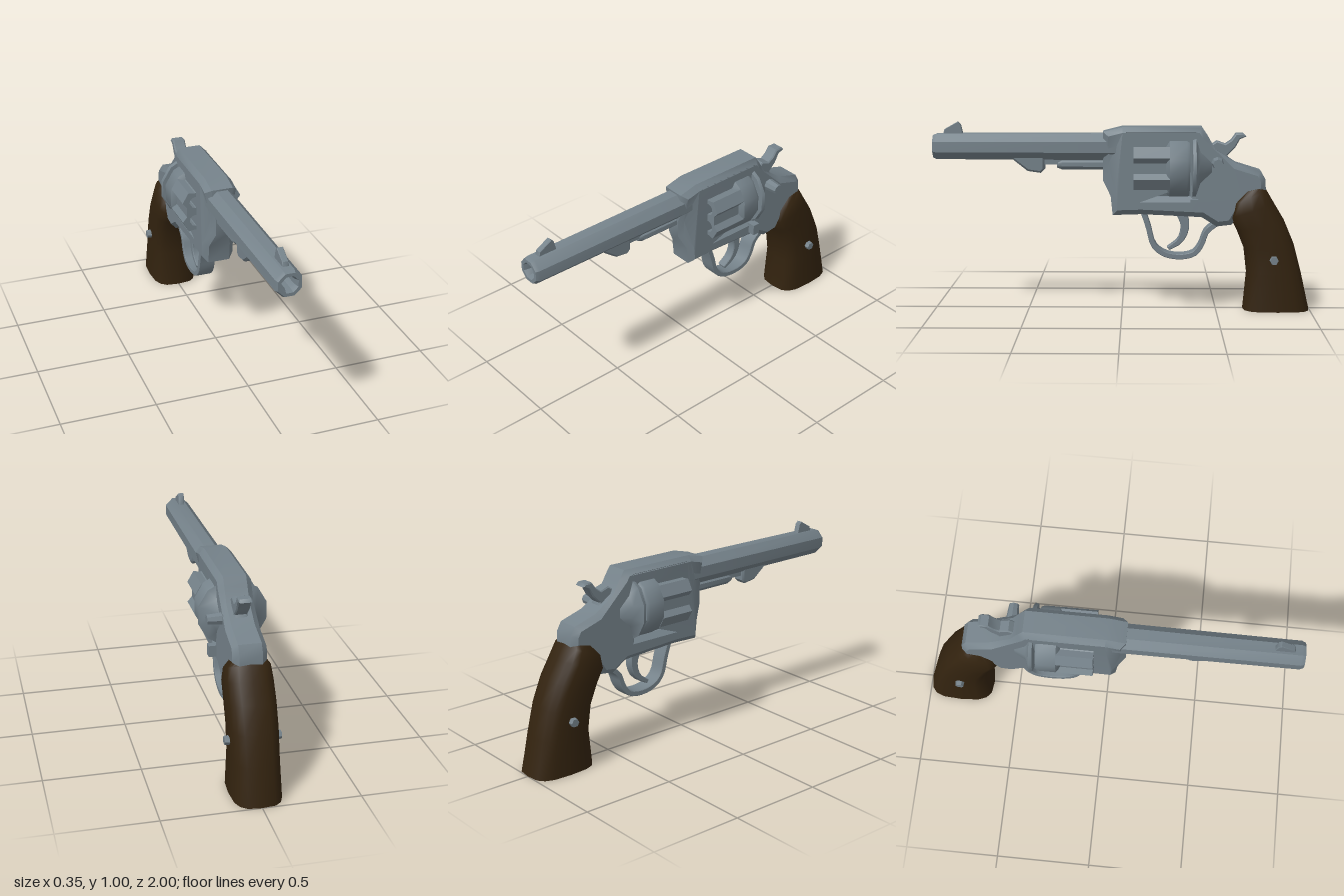
import * as THREE from 'three';
import { toCreasedNormals } from 'three/addons/utils/BufferGeometryUtils.js';

const steel = new THREE.MeshStandardMaterial({ color: 0x75828a });
steel.name = 'steel';
const wood = new THREE.MeshStandardMaterial({ color: 0x33230f });
wood.name = 'dark wood';

const AXIS_Y = 0.765; // cylinder axis height
const BORE_Y = 0.87; // barrel axis height

function mesh(name, geometry, material = steel, crease = 0.75) {
  const m = new THREE.Mesh(toCreasedNormals(geometry, crease), material);
  m.name = name;
  return m;
}

const toShape = (pts) => new THREE.Shape(pts.map(([z, y]) => new THREE.Vector2(z, y)));

// Side profile in (z, y), given a thickness across x with a chamfered edge
function plate(shape, halfWidth, bevel = 0.01) {
  const g = new THREE.ExtrudeGeometry(shape, {
    depth: 2 * (halfWidth - bevel), curveSegments: 6, bevelEnabled: bevel > 0,
    bevelThickness: bevel, bevelSize: bevel, bevelOffset: -bevel, bevelSegments: 1,
  });
  g.translate(0, 0, -(halfWidth - bevel));
  g.rotateY(-Math.PI / 2);
  return g;
}

// Curved band of given half thickness following a centre line in (z, y)
function band(pts, thick, steps = 16) {
  const curve = new THREE.SplineCurve(pts.map(([z, y]) => new THREE.Vector2(z, y)));
  const a = [], b = [];
  for (let i = 0; i <= steps; i++) {
    const p = curve.getPoint(i / steps), t = curve.getTangent(i / steps);
    const h = typeof thick === 'function' ? thick(i / steps) : thick;
    a.push([p.x - t.y * h, p.y + t.x * h]);
    b.unshift([p.x + t.y * h, p.y - t.x * h]);
  }
  return toShape([...a, ...b]);
}

// Turned part along z; profile is [radius, z] with z rising on the outside
function turned(profile, sides, y) {
  const g = new THREE.LatheGeometry(profile.map(([r, z]) => new THREE.Vector2(r, z)), sides, Math.PI / sides);
  g.rotateX(Math.PI / 2);
  g.translate(0, y, 0);
  return g;
}

// Grip lofted through sections [frontZ, frontY, backZ, backY, halfWidth]
function loftGrip(sections, n = 16) {
  const pos = [], idx = [];
  const soft = (v) => Math.sign(v) * Math.abs(v) ** 0.62;
  for (const [fz, fy, bz, by, w] of sections) {
    for (let j = 0; j < n; j++) {
      const a = (j / n) * Math.PI * 2, t = soft(Math.sin(a)) / 2;
      pos.push(w * soft(Math.cos(a)), (fy + by) / 2 + (fy - by) * t, (fz + bz) / 2 + (fz - bz) * t);
    }
  }
  const last = sections.length - 1;
  for (let i = 0; i < last; i++) {
    for (let j = 0; j < n; j++) {
      const k = (j + 1) % n, p = i * n, q = p + n;
      idx.push(p + j, q + j, p + k, p + k, q + j, q + k);
    }
  }
  for (const i of [0, last]) {
    const [fz, fy, bz, by] = sections[i];
    const c = pos.length / 3;
    pos.push(0, (fy + by) / 2, (fz + bz) / 2);
    for (let j = 0; j < n; j++) {
      const p = i * n + j, q = i * n + ((j + 1) % n);
      idx.push(c, ...(i === 0 ? [p, q] : [q, p]));
    }
  }
  const g = new THREE.BufferGeometry();
  g.setAttribute('position', new THREE.Float32BufferAttribute(pos, 3));
  g.setIndex(idx);
  g.computeVertexNormals();
  return g;
}

function buildBarrel() {
  const group = new THREE.Group();
  group.name = 'barrel';
  group.add(mesh('barrelTube', turned(
    [[0.077, 0.03], [0.073, 0.98], [0.064, 1], [0.046, 1], [0.034, 0.97], [0.03, 0.8], [0, 0.8]], 8, BORE_Y), steel, 0.6));
  const sight = toShape([[0.95, 0.92], [0.94, 0.96], [0.87, 1], [0.855, 0.985], [0.84, 0.92]]);
  group.add(mesh('frontSight', plate(sight, 0.016, 0.003)));
  const lug = toShape([[0.59, 0.82], [0.57, 0.795], [0.5, 0.74], [0.43, 0.73], [0.41, 0.75], [0.41, 0.82]]);
  group.add(mesh('ejectorLug', plate(lug, 0.038, 0.01)));
  group.add(mesh('ejectorRod', turned([[0, 0.05], [0.032, 0.05], [0.03, 0.32], [0.02, 0.345], [0, 0.345]], 8, 0.775)));
  group.add(mesh('rodBridge', new THREE.BoxGeometry(0.04, 0.04, 0.4).translate(0, 0.795, 0.25)));
  return group;
}

function buildFrame() {
  const group = new THREE.Group();
  group.name = 'frame';
  const outline = toShape([
    [0.1, 0.95], [0, 0.975], [-0.42, 0.975], [-0.45, 0.93], [-0.49, 0.86], [-0.6, 0.785], [-0.73, 0.745],
    [-0.755, 0.7], [-0.757, 0.64], [-0.65, 0.58], [-0.58, 0.46], [-0.5, 0.45], [-0.42, 0.5],
    [-0.1, 0.515], [0.05, 0.51], [0.06, 0.61], [0.1, 0.69], [0.1, 0.78],
  ]);
  outline.holes.push(new THREE.Path(
    [[-0.05, 0.61], [-0.36, 0.61], [-0.36, 0.925], [-0.05, 0.925]].map(([z, y]) => new THREE.Vector2(z, y))));
  const g = plate(outline, 0.086, 0.028);
  // Narrow the neck under the barrel
  const p = g.attributes.position;
  for (let i = 0; i < p.count; i++) {
    if (p.getZ(i) > 0.03 && p.getY(i) > 0.65 && p.getY(i) < 0.82) p.setX(i, p.getX(i) * 0.6);
  }
  group.add(mesh('frameBody', g));
  // Recoil shield flaring behind the cylinder
  group.add(mesh('recoilShield', turned(
    [[0, -0.5], [0.09, -0.47], [0.12, -0.41], [0.18, -0.388], [0.175, -0.37], [0, -0.36]], 12, AXIS_Y), steel, 0.9));
  const latch = new THREE.CylinderGeometry(0.026, 0.034, 0.09, 8);
  latch.rotateZ(-Math.PI / 2).translate(0.115, 0.79, -0.5);
  group.add(mesh('thumbLatch', latch));
  group.add(mesh('sidePin', new THREE.BoxGeometry(0.05, 0.06, 0.04).translate(0.1, 0.57, -0.38)));
  return group;
}

function buildCylinder() {
  const group = new THREE.Group();
  group.name = 'cylinder';
  // Fluted front with six chamber holes
  const pts = [];
  for (let i = 0; i < 6; i++) {
    for (const [deg, r] of [[-11, 0.14], [11, 0.14], [19, 0.17], [41, 0.17]]) {
      const a = THREE.MathUtils.degToRad(i * 60 + deg);
      pts.push(new THREE.Vector2(Math.cos(a) * r, Math.sin(a) * r));
    }
  }
  const face = new THREE.Shape(pts);
  for (let i = 0; i < 6; i++) {
    const a = Math.PI / 6 + (i * Math.PI) / 3;
    const hole = new THREE.Path();
    hole.absarc(Math.cos(a) * 0.105, Math.sin(a) * 0.105, 0.032, 0, Math.PI * 2, true);
    face.holes.push(hole);
  }
  const front = new THREE.ExtrudeGeometry(face, { depth: 0.19, bevelEnabled: false, curveSegments: 6 });
  front.translate(0, AXIS_Y, -0.25);
  group.add(mesh('flutedDrum', front, steel, 0.5));
  group.add(mesh('rearDrum', turned([[0, -0.355], [0.162, -0.355], [0.17, -0.34], [0.17, -0.25], [0.135, -0.225], [0, -0.225]], 12, AXIS_Y)));
  group.add(mesh('centrePin', turned([[0.04, -0.1], [0.035, -0.03], [0, -0.03]], 8, AXIS_Y)));
  return group;
}

function buildAction() {
  const group = new THREE.Group();
  group.name = 'action';
  const guard = band([[-0.11, 0.53], [-0.14, 0.44], [-0.165, 0.35], [-0.22, 0.3], [-0.3, 0.283],
    [-0.38, 0.298], [-0.422, 0.35], [-0.45, 0.42], [-0.52, 0.475]], 0.014, 22);
  group.add(mesh('triggerGuard', plate(guard, 0.044, 0.003)));
  const trigger = band([[-0.31, 0.53], [-0.335, 0.45], [-0.31, 0.37], [-0.245, 0.325]], (t) => 0.03 - 0.02 * t, 8);
  group.add(mesh('trigger', plate(trigger, 0.025, 0.004)));
  const hammer = toShape([[-0.44, 0.86], [-0.5, 0.9], [-0.545, 0.885], [-0.575, 0.905], [-0.6, 0.94],
    [-0.64, 0.94], [-0.655, 0.925], [-0.62, 0.91], [-0.595, 0.865], [-0.555, 0.825], [-0.58, 0.77], [-0.46, 0.77]]);
  group.add(mesh('hammer', plate(hammer, 0.034, 0.006)));
  return group;
}

function buildGrip() {
  const group = new THREE.Group();
  group.name = 'grip';
  group.add(mesh('gripHandle', loftGrip([
    [-0.645, 0, -1, 0, 0.126],
    [-0.663, 0.2, -0.955, 0.2, 0.119],
    [-0.648, 0.33, -0.915, 0.35, 0.12],
    [-0.608, 0.43, -0.86, 0.48, 0.121],
    [-0.57, 0.5, -0.8, 0.58, 0.12],
    [-0.585, 0.57, -0.762, 0.645, 0.112],
    [-0.635, 0.635, -0.745, 0.66, 0.09],
  ]), wood, 0.9));
  // Screw heads on both sides
  for (const side of [-1, 1]) {
    const screw = new THREE.CylinderGeometry(0.022, 0.026, 0.05, 6);
    screw.rotateZ(-side * Math.PI / 2).translate(side * 0.118, 0.28, -0.8);
    group.add(mesh(side > 0 ? 'leftGripScrew' : 'rightGripScrew', screw));
  }
  return group;
}

export function createModel() {
  const model = new THREE.Group();
  model.name = 'revolver';
  model.add(buildBarrel(), buildFrame(), buildCylinder(), buildAction(), buildGrip());
  return model;
}
